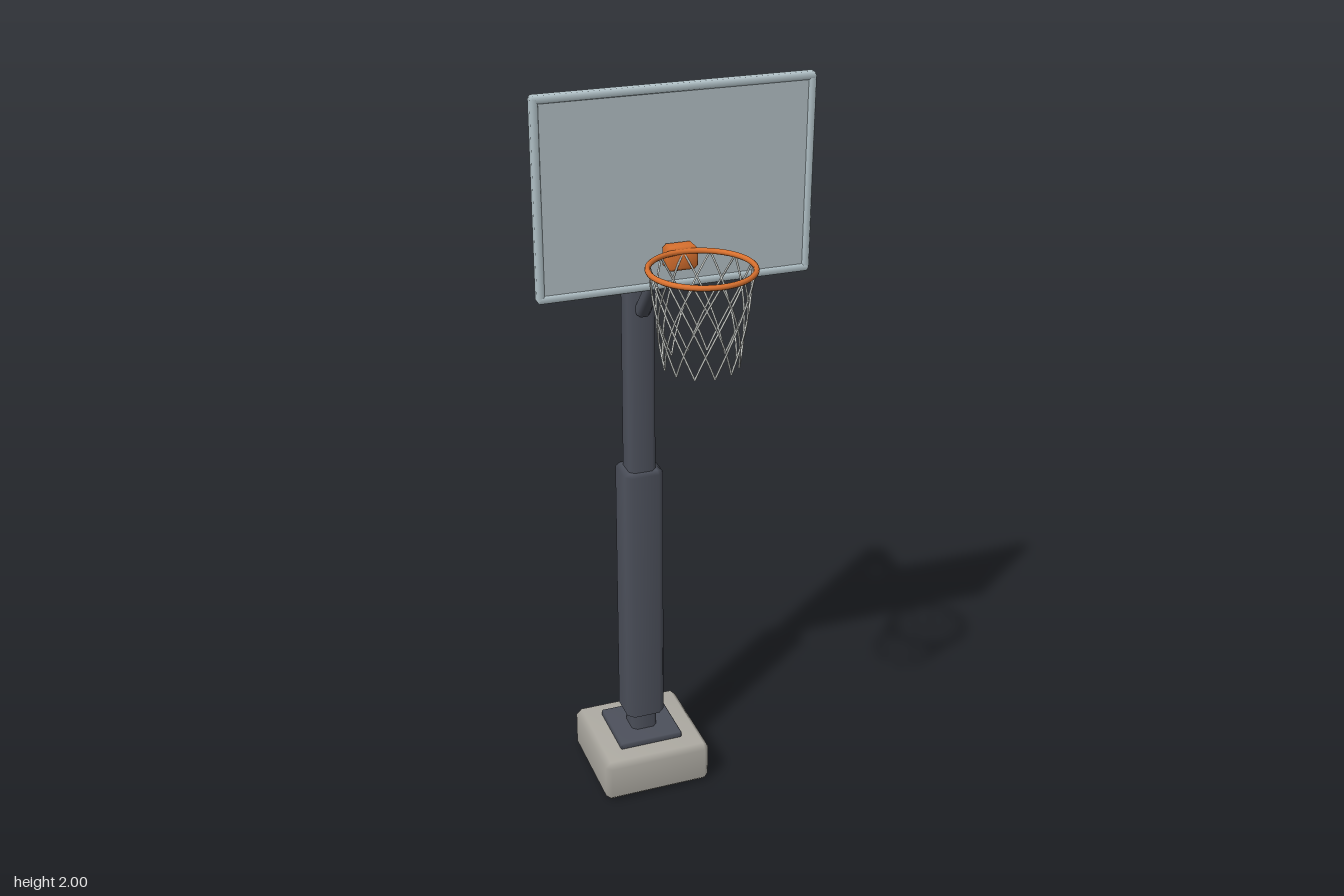
import * as THREE from 'three';
import { mergeVertices } from 'three/addons/utils/BufferGeometryUtils.js';
import { ConvexGeometry } from 'three/addons/geometries/ConvexGeometry.js';

const V = (x, y, z) => new THREE.Vector3(x, y, z);

function material(name, color) {
  const m = new THREE.MeshStandardMaterial({ color });
  m.name = name;
  return m;
}

// Box with chamfered edges and softly shaded corners; cy is the chamfer along y
function chamferBox(w, h, d, c, cy = c) {
  const x = w / 2, y = h / 2, z = d / 2, points = [];
  for (const sx of [-1, 1]) for (const sy of [-1, 1]) for (const sz of [-1, 1]) {
    points.push(
      V(sx * x, sy * (y - cy), sz * (z - c)),
      V(sx * (x - c), sy * y, sz * (z - c)),
      V(sx * (x - c), sy * (y - cy), sz * z)
    );
  }
  const hull = new ConvexGeometry(points);
  hull.deleteAttribute('normal');
  const geometry = mergeVertices(hull, 1e-5);
  geometry.computeVertexNormals();
  return geometry;
}

export function createModel() {
  const group = new THREE.Group();
  group.name = 'basketballHoop';

  const steel = material('darkSteel', 0x4d515c);
  const concrete = material('concrete', 0xaeaba3);
  const glass = material('glassPanel', 0xaebbc0);
  const trim = material('paleTrim', 0xb4c4ca);
  const orange = material('orangeMetal', 0xd9712f);
  const cord = material('netCord', 0xc9ccc8);

  function add(name, geometry, mat, x = 0, y = 0, z = 0, parent = group) {
    const mesh = new THREE.Mesh(geometry, mat);
    mesh.name = name;
    mesh.position.set(x, y, z);
    parent.add(mesh);
    return mesh;
  }

  // Round bar between two points
  function bar(name, a, b, r, mat) {
    const mesh = add(name, new THREE.CylinderGeometry(r, r, a.distanceTo(b), 12), mat);
    mesh.position.copy(a).lerp(b, 0.5);
    mesh.quaternion.setFromUnitVectors(V(0, 1, 0), b.clone().sub(a).normalize());
  }

  // Base and post
  const postZ = -0.209;
  add('base', chamferBox(0.3, 0.122, 0.298, 0.015), concrete, 0, 0.061, postZ);
  add('basePlate', chamferBox(0.178, 0.018, 0.178, 0.003), steel, 0, 0.13, postZ);
  add('post', chamferBox(0.072, 1.585, 0.072, 0.012, 0.008), steel, 0, 0.9225, postZ);
  add('postSleeve', chamferBox(0.106, 0.755, 0.106, 0.017, 0.006), steel, 0, 0.565, postZ);

  // Arm and diagonal strut
  add('arm', chamferBox(0.058, 0.05, 0.237, 0.012), steel, 0, 1.695, -0.0815);
  const low = V(0, 1.38, -0.18), high = V(0, 1.615, 0.028);
  const strut = add('strut', chamferBox(0.036, low.distanceTo(high), 0.036, 0.009), steel);
  strut.position.copy(low).lerp(high, 0.5);
  strut.rotation.x = Math.atan2(high.z - low.z, high.y - low.y);

  // Braces fanning out to the back of the board
  for (const s of [-1, 1]) {
    bar('upperBrace', V(s * 0.015, 1.685, -0.01), V(s * 0.192, 1.8, 0.047), 0.009, steel);
    bar('lowerBrace', V(s * 0.01, 1.625, -0.012), V(s * 0.192, 1.588, 0.047), 0.009, steel);
  }

  // Board and its frame
  const board = new THREE.Group();
  board.name = 'backboard';
  board.position.set(0, 1.766, 0.058);
  group.add(board);
  add('panel', new THREE.BoxGeometry(0.64, 0.45, 0.014), glass, 0, 0, 0, board);
  for (const s of [-1, 1]) {
    add('frameRail', chamferBox(0.656, 0.018, 0.024, 0.004), trim, 0, s * 0.224, 0, board);
    add('frameStile', chamferBox(0.018, 0.458, 0.024, 0.004), trim, s * 0.321, 0, 0, board);
  }

  // Rim and bracket
  const rimY = 1.632, rimZ = 0.226;
  add('rimBracket', chamferBox(0.074, 0.056, 0.046, 0.008), orange, 0, 1.615, 0.089);
  const rim = add('rim', new THREE.TorusGeometry(0.119, 0.0065, 10, 48), orange, 0, rimY, rimZ);
  rim.rotation.x = Math.PI / 2;

  // Net: two opposing sets of tapering spirals
  const net = new THREE.Group();
  net.name = 'net';
  net.position.set(0, rimY, rimZ);
  group.add(net);
  const count = 12, twist = Math.PI / 3;
  for (const s of [-1, 1]) {
    const points = [];
    for (let i = 0; i <= 8; i++) {
      const t = i / 8, r = 0.117 - 0.031 * t, a = s * twist * t;
      points.push(V(r * Math.cos(a), -0.227 * t, r * Math.sin(a)));
    }
    const strand = new THREE.TubeGeometry(new THREE.CatmullRomCurve3(points), 16, 0.0024, 6);
    for (let i = 0; i < count; i++) {
      add('netStrand', strand, cord, 0, 0, 0, net).rotation.y = (i * 2 * Math.PI) / count;
    }
  }

  return group;
}
